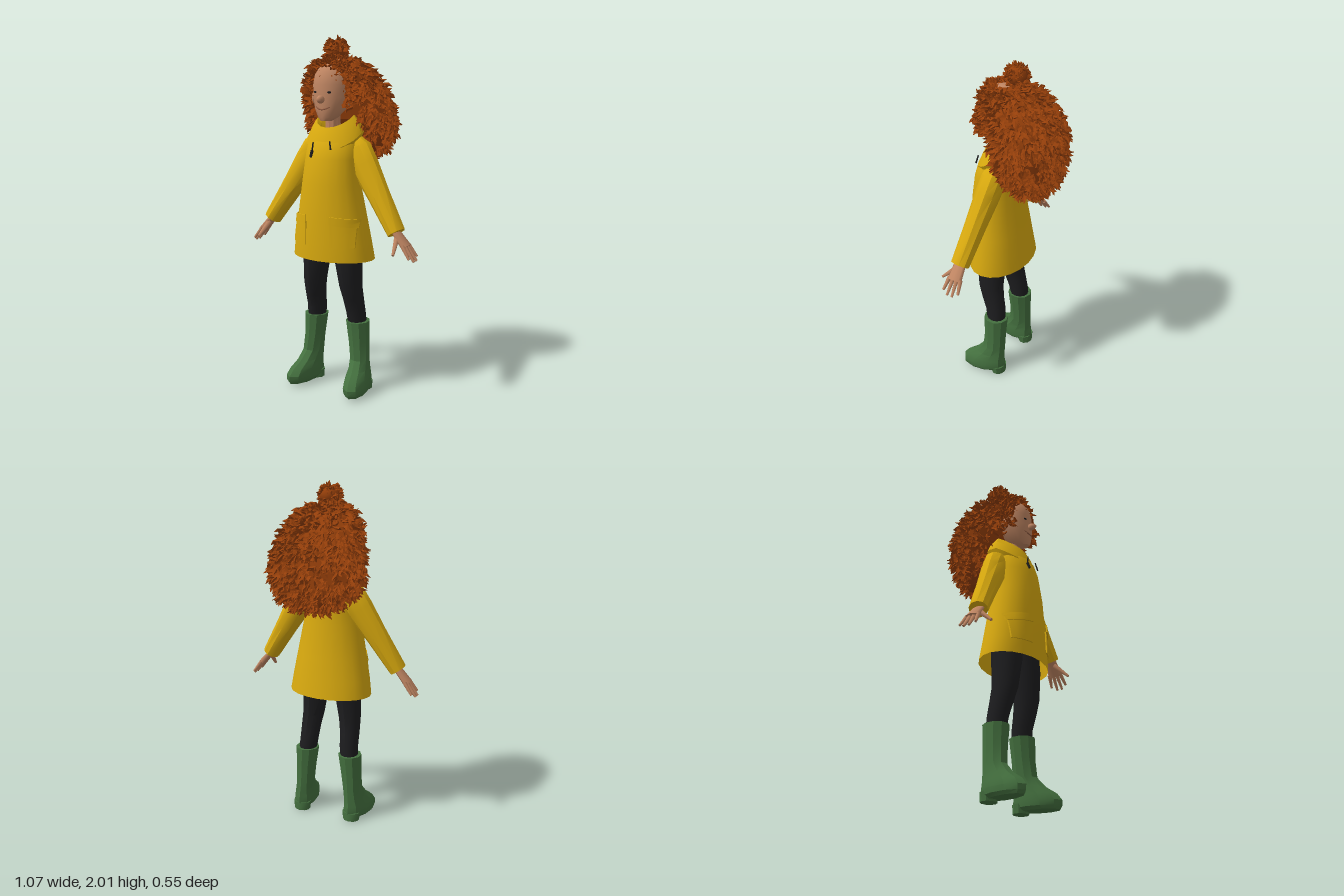
import * as THREE from 'three';
import { toCreasedNormals } from 'three/addons/utils/BufferGeometryUtils.js';

const V = (x, y, z) => new THREE.Vector3(x, y, z);
const mat = (name, color, extra = {}) => Object.assign(new THREE.MeshStandardMaterial({ color, ...extra }), { name });

// Seeded random numbers for the curls
let seed = 7;
const rnd = () => ((seed = (seed * 16807) % 2147483647) / 2147483647);
const jit = (a) => (rnd() * 2 - 1) * a;

// Skin over horizontal oval rings [y, centreX, centreZ, radiusX, radiusZ], listed upward
function loft(rings, n, { bottom = true, top = true, warp = null, crease = 0.6 } = {}) {
  const pos = [], idx = [];
  for (const [y, cx, cz, rx, rz] of rings)
    for (let i = 0; i < n; i++) {
      const a = (i / n) * Math.PI * 2;
      const p = V(cx + rx * Math.sin(a), y, cz + rz * Math.cos(a));
      if (warp) warp(p);
      pos.push(p.x, p.y, p.z);
    }
  for (let r = 0; r < rings.length - 1; r++)
    for (let i = 0; i < n; i++) {
      const a = r * n + i, b = r * n + (i + 1) % n;
      idx.push(a, b, b + n, a, b + n, a + n);
    }
  const last = (rings.length - 1) * n;
  for (let i = 1; i < n - 1; i++) {
    if (bottom) idx.push(0, i + 1, i);
    if (top) idx.push(last, last + i, last + i + 1);
  }
  const g = new THREE.BufferGeometry();
  g.setAttribute('position', new THREE.Float32BufferAttribute(pos, 3));
  g.setIndex(idx);
  return toCreasedNormals(g, crease);
}

// Oval value of a ring table at height y
function ringAt(rings, y) {
  let i = 0;
  while (i < rings.length - 2 && rings[i + 1][0] < y) i++;
  const t = (y - rings[i][0]) / (rings[i + 1][0] - rings[i][0]);
  return rings[i].map((v, k) => v + (rings[i + 1][k] - v) * t);
}

// One three-sided tapered curl, added to a list of triangle corners
function addCurl(out, p, dir, len, r) {
  const d = dir.clone().normalize();
  const u = V(jit(1), jit(1), jit(1)).cross(d).normalize();
  const v = d.clone().cross(u);
  const ph = rnd() * 6, rows = [];
  [[0, 1], [0.4, 1.05], [0.75, 0.7], [1, 0.12]].forEach(([t, w]) => {
    const c = p.clone().addScaledVector(d, t * len).addScaledVector(u, Math.sin(t * 5 + ph) * len * 0.16);
    rows.push([0, 1, 2].map((k) => {
      const a = k * Math.PI * 2 / 3 + t * 1.2;
      return c.clone().addScaledVector(u, Math.cos(a) * r * w).addScaledVector(v, Math.sin(a) * r * w * 0.6);
    }));
  });
  for (let i = 0; i < 3; i++)
    for (let k = 0; k < 3; k++) {
      const j = (k + 1) % 3, A = rows[i], B = rows[i + 1];
      for (const q of [A[k], A[j], B[j], A[k], B[j], B[k]]) out.push(q.x, q.y, q.z);
    }
}

export function createModel() {
  seed = 7;
  const root = new THREE.Group();
  const yellow = mat('raincoat yellow', 0xd9aa0f, { side: THREE.DoubleSide });
  const green = mat('boot green', 0x44703f), black = mat('black', 0x1d1d1f);
  const skin = mat('skin', 0xbf8562), dark = mat('lip brown', 0x8f5a40), red = mat('hair auburn', 0x953f0a);
  const add = (name, geo, m, parent = root) => {
    const mesh = new THREE.Mesh(geo, m);
    mesh.name = name;
    parent.add(mesh);
    return mesh;
  };
  // Tapered round bar between two points
  const rod = (name, a, b, ra, rb, m, n = 6) => {
    const d = b.clone().sub(a);
    const mesh = add(name, new THREE.CylinderGeometry(rb, ra, d.length(), n), m);
    mesh.position.copy(a).addScaledVector(d, 0.5);
    mesh.quaternion.setFromUnitVectors(V(0, 1, 0), d.normalize());
    return mesh;
  };
  const ball = (name, p, s, m, n = 10) => {
    const mesh = add(name, new THREE.SphereGeometry(1, n, 8), m);
    mesh.position.copy(p);
    mesh.scale.copy(s);
    return mesh;
  };

  // Coat body
  const coat = [
    [0.78, 0, 0.092, 0.25, 0.172], [0.88, 0, 0.1, 0.235, 0.165], [1.0, 0, 0.106, 0.212, 0.157],
    [1.2, 0, 0.117, 0.175, 0.139], [1.34, 0, 0.11, 0.158, 0.128], [1.42, 0, 0.1, 0.15, 0.113],
    [1.48, 0, 0.085, 0.115, 0.085], [1.5, 0, 0.08, 0.08, 0.06],
  ];
  add('coatBody', loft(coat, 20, { bottom: false }), yellow);

  // Folded hood around the neck, dipping to a V in front, with the bag behind
  const dip = (p) => { p.y -= 0.085 * Math.max(0, (p.z - 0.06) / 0.14); };
  add('hoodCollar', loft([
    [1.44, 0, 0.075, 0.145, 0.12], [1.485, 0, 0.075, 0.165, 0.145], [1.54, 0, 0.065, 0.138, 0.13],
    [1.575, 0, 0.06, 0.11, 0.11], [1.55, 0, 0.065, 0.085, 0.092], [1.48, 0, 0.075, 0.055, 0.07],
  ], 16, { bottom: false, top: false, warp: dip }), yellow);
  ball('hoodBag', V(0, 1.43, -0.03), V(0.13, 0.11, 0.05), yellow, 12);

  // Pockets and flaps that follow the coat front
  const patch = (name, x, y, w, h, lift, tilt) => {
    const g = new THREE.BoxGeometry(w, h, 0.008, 5, 3, 1), p = g.attributes.position;
    for (let i = 0; i < p.count; i++) {
      const px = x + p.getX(i), py = y + p.getY(i) + p.getX(i) * tilt;
      const [, , cz, rx, rz] = ringAt(coat, py);
      p.setXYZ(i, px, py, cz + rz * Math.sqrt(Math.max(0.02, 1 - (px / rx) ** 2)) + p.getZ(i) + lift);
    }
    add(name, toCreasedNormals(g, 0.5), yellow);
  };

  // Sleeves, hands, legs and boots
  for (const s of [1, -1]) {
    const side = s > 0 ? 'left' : 'right';
    patch(side + 'Pocket', s * 0.14, 0.93, 0.12, 0.13, 0.003, 0);
    patch(side + 'PocketFlap', s * 0.143, 1.005, 0.13, 0.045, 0.012, s * -0.12);

    const wrist = V(s * 0.412, 0.96, 0.115), shoulder = V(s * 0.135, 1.385, 0.06);
    const len = wrist.distanceTo(shoulder);
    const sleeve = add(side + 'Sleeve', loft([
      [-len, 0, 0, 0.05, 0.054], [-len * 0.55, 0, 0, 0.064, 0.06], [-len * 0.2, 0, 0, 0.08, 0.068],
      [0, 0, 0, 0.083, 0.068], [0.06, -s * 0.012, 0, 0.062, 0.056], [0.1, -s * 0.025, 0, 0.03, 0.035],
    ], 10), yellow);
    sleeve.position.copy(shoulder);
    sleeve.quaternion.setFromUnitVectors(V(0, -1, 0), wrist.clone().sub(shoulder).normalize());

    const palm = rod(side + 'Palm', V(s * 0.405, 0.97, 0.115), V(s * 0.474, 0.89, 0.115), 0.028, 0.034, skin, 8);
    palm.scale.set(0.6, 1, 1.3);
    for (let i = 0; i < 4; i++)
      rod(side + 'Finger' + (i + 1), V(s * 0.466, 0.9, 0.08 + i * 0.023),
        V(s * (i % 3 ? 0.528 : 0.514), i % 3 ? 0.818 : 0.835, 0.068 + i * 0.032), 0.013, 0.007, skin);
    rod(side + 'Thumb', V(s * 0.425, 0.935, 0.135), V(s * 0.445, 0.86, 0.215), 0.017, 0.008, skin);

    add(side + 'Leg', loft([
      [0.38, s * 0.14, 0.06, 0.052, 0.056], [0.46, s * 0.132, 0.068, 0.054, 0.06], [0.54, s * 0.128, 0.088, 0.056, 0.068],
      [0.62, s * 0.12, 0.105, 0.062, 0.075], [0.78, s * 0.105, 0.108, 0.076, 0.088], [0.95, s * 0.09, 0.1, 0.085, 0.09],
    ], 12), black);

    // Boot, with the toe turned outward
    const turn = (p) => { p.x += s * Math.max(0, 0.3 - p.y) * (p.z - 0.08) * 0.5; };
    add(side + 'Boot', loft([
      [0.012, s * 0.174, 0.14, 0.055, 0.115], [0.03, s * 0.174, 0.13, 0.068, 0.136], [0.06, s * 0.174, 0.128, 0.071, 0.14],
      [0.095, s * 0.172, 0.118, 0.066, 0.125], [0.135, s * 0.167, 0.09, 0.058, 0.094], [0.19, s * 0.16, 0.068, 0.056, 0.07],
      [0.29, s * 0.151, 0.063, 0.06, 0.068], [0.41, s * 0.141, 0.062, 0.069, 0.074],
    ], 10, { warp: turn, crease: 0.45 }), green);
    add(side + 'BootHeel', loft([[0, s * 0.166, 0.034, 0.05, 0.043], [0.05, s * 0.166, 0.036, 0.055, 0.045]], 10), green);

    // Ear and eye
    ball(side + 'Ear', V(s * 0.112, 1.665, 0.105), V(0.018, 0.038, 0.026), skin);
    const eye = ball(side + 'Eye', V(s * 0.045, 1.7, 0.206), V(0.011, 0.006, 0.004), black, 8);
    eye.rotation.y = s * 0.35;
  }

  // Drawstrings and undershirt
  rod('rightCord', V(-0.05, 1.43, 0.222), V(-0.057, 1.385, 0.222), 0.004, 0.004, black);
  rod('rightToggle', V(-0.057, 1.385, 0.222), V(-0.058, 1.35, 0.236), 0.009, 0.007, black);
  rod('leftCord', V(0.052, 1.44, 0.215), V(0.064, 1.395, 0.224), 0.004, 0.005, black);
  add('undershirt', loft([[1.43, 0, 0.105, 0.05, 0.06], [1.475, 0, 0.1, 0.047, 0.055]], 10), black);

  // Neck and head
  add('neck', loft([[1.44, 0, 0.095, 0.045, 0.045], [1.6, 0, 0.1, 0.04, 0.045]], 10), skin);
  add('head', loft([
    [1.545, 0, 0.165, 0.028, 0.036], [1.565, 0, 0.145, 0.055, 0.063], [1.61, 0, 0.122, 0.086, 0.09],
    [1.67, 0, 0.104, 0.104, 0.108], [1.74, 0, 0.095, 0.11, 0.116], [1.8, 0, 0.09, 0.1, 0.108],
    [1.85, 0, 0.08, 0.07, 0.08], [1.875, 0, 0.07, 0.02, 0.02],
  ], 16, { crease: 0.8 }), skin);
  ball('nose', V(0, 1.662, 0.222), V(0.019, 0.022, 0.03), skin);
  const smile = new THREE.QuadraticBezierCurve3(V(-0.042, 1.622, 0.197), V(0, 1.593, 0.23), V(0.042, 1.622, 0.197));
  add('mouth', new THREE.TubeGeometry(smile, 10, 0.004, 5), dark);

  // Hair mass and its curls
  const hair = [
    [1.33, 0, -0.15, 0.09, 0.05], [1.38, 0, -0.14, 0.18, 0.085], [1.45, 0, -0.12, 0.245, 0.115], [1.55, 0, -0.085, 0.262, 0.145],
    [1.65, 0, -0.065, 0.238, 0.148], [1.75, 0, -0.02, 0.195, 0.145], [1.82, 0, 0.025, 0.145, 0.125], [1.87, 0, 0.035, 0.06, 0.06],
  ];
  const curls = [];
  for (let i = 0; i < 1500; i++) {
    const y = 1.33 + 0.54 * rnd(), a = rnd() * Math.PI * 2;
    const [, , cz, rx, rz] = ringAt(hair, y);
    const p = V(rx * Math.sin(a), y, cz + rz * Math.cos(a));
    if (Math.cos(a) > 0 && Math.abs(p.x) < 0.13 && y < 1.62) continue;
    const o = V(Math.sin(a) / rx, 0, Math.cos(a) / rz).normalize();
    o.y = (y - 1.72) * 3 - 0.35;
    addCurl(curls, p.addScaledVector(o, -0.008), o.add(V(jit(0.5), jit(0.45), jit(0.5))), 0.045 + rnd() * 0.03, 0.012 + rnd() * 0.008);
  }
  // Crown
  for (let i = 0; i < 90; i++) {
    const a = rnd() * 6.28, r = 0.09 * Math.sqrt(rnd());
    addCurl(curls, V(r * Math.sin(a), 1.855, 0.05 + r * Math.cos(a)), V(Math.sin(a), 0.1, Math.cos(a)), 0.06, 0.016);
  }
  // Curls framing the face
  for (let i = 0; i < 170; i++) {
    const a = -0.5 + rnd() * 4.15, k = rnd();
    const p = V((0.118 + k * 0.02) * Math.cos(a), 1.705 + (0.138 + k * 0.02) * Math.sin(a), 0.165 - k * 0.07);
    addCurl(curls, p, V(Math.cos(a) + jit(0.5), Math.sin(a) * 0.5 - 0.3 + jit(0.5), 0.5 + jit(0.3)), 0.05, 0.014);
  }
  // Top bun
  const bun = V(-0.03, 1.925, 0.015);
  for (let i = 0; i < 130; i++) {
    const o = V(jit(1), jit(1), jit(1)).normalize();
    const p = bun.clone().addScaledVector(o, 0.045);
    addCurl(curls, p, o.add(V(jit(0.9), jit(0.9), jit(0.9))), 0.035, 0.012);
  }
  const curlGeo = new THREE.BufferGeometry();
  curlGeo.setAttribute('position', new THREE.Float32BufferAttribute(curls, 3));
  curlGeo.computeVertexNormals();
  const hairGroup = new THREE.Group();
  hairGroup.name = 'hair';
  root.add(hairGroup);
  add('curls', curlGeo, red, hairGroup);
  add('hairMass', loft(hair, 18, { crease: 0.1 }), red, hairGroup);
  add('bunCore', new THREE.IcosahedronGeometry(0.055, 1), red, hairGroup).position.copy(bun);
  return root;
}
